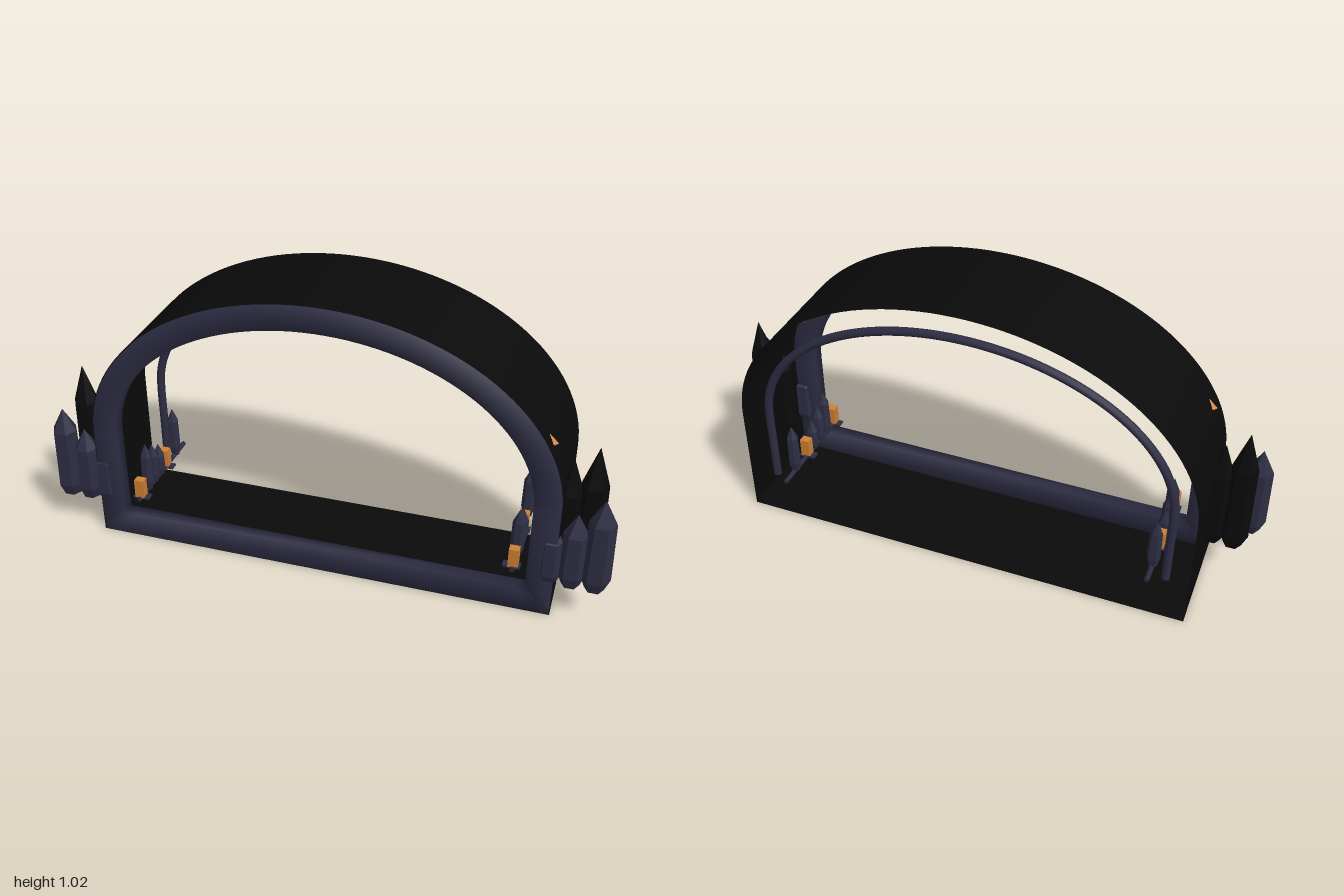
import * as THREE from 'three';
import { toCreasedNormals } from 'three/addons/utils/BufferGeometryUtils.js';

const SPRING = 0.42; // height where the arch starts to curve

// upper half ellipse, running from +x over the top to -x
function arch(rx, ry, n) {
  return Array.from({ length: n + 1 }, (_, i) => {
    const a = (i / n) * Math.PI;
    return [rx * Math.cos(a), SPRING + ry * Math.sin(a)];
  });
}

// closed arch outline with a flat bottom, anticlockwise from the front
function outline(rx, ry, bottom) {
  const e = rx - 0.03, f = bottom + 0.03;
  return [[-rx, bottom], [-e, bottom], [e, bottom], [rx, bottom], [rx, f],
    ...arch(rx, ry, 64), [-rx, f]];
}

// skin between successive outlines, each given as [points, z]
function skin(rings, wrap) {
  const n = rings[0][0].length, pos = [], index = [];
  for (const [pts, z] of rings) for (const [x, y] of pts) pos.push(x, y, z);
  const spans = wrap ? rings.length : rings.length - 1;
  for (let r = 0; r < spans; r++) {
    const s = (r + 1) % rings.length;
    for (let j = 0; j < n; j++) {
      const k = (j + 1) % n;
      const a = r * n + j, b = r * n + k, c = s * n + k, d = s * n + j;
      index.push(a, b, c, a, c, d);
    }
  }
  const g = new THREE.BufferGeometry();
  g.setAttribute('position', new THREE.Float32BufferAttribute(pos, 3));
  g.setIndex(index);
  g.computeVertexNormals();
  return g;
}

// six-sided pointed crystal standing on y = 0
function crystalGeometry(r, h, tip) {
  const profile = [[0, 0], [r * 0.65, 0], [r, Math.min(0.045, h * 0.2)], [r * 0.9, h - tip], [0, h]]
    .map(([x, y]) => new THREE.Vector2(x, y));
  // quarter turn so that corners point along x
  return toCreasedNormals(new THREE.LatheGeometry(profile, 6).rotateY(Math.PI / 2), 0.1);
}

export function createModel() {
  const model = new THREE.Group();
  model.name = 'crystalArch';
  const material = (name, color, extra = {}) => {
    const m = new THREE.MeshStandardMaterial({ color, ...extra });
    m.name = name;
    return m;
  };
  const black = material('black', 0x0a0a0a, { side: THREE.DoubleSide });
  const slate = material('slate', 0x2d2d44);
  const bronze = material('bronze', 0xcd7f32);

  const add = (name, geometry, mat, x = 0, y = 0, z = 0, parent = model) => {
    const mesh = new THREE.Mesh(geometry, mat);
    mesh.name = name;
    mesh.position.set(x, y, z);
    parent.add(mesh);
    return mesh;
  };

  // thin tunnel shell with its floor
  const shellLine = outline(0.82, 0.6, 0);
  add('tunnelShell', toCreasedNormals(skin([[shellLine, -0.22], [shellLine, 0.203]], false), 0.6), black);

  // thick soft-shaded frame around the front opening
  const outer = outline(0.817, 0.597, 0.003), inner = outline(0.73, 0.51, 0.09);
  add('frontRim', skin([[outer, 0.155], [outer, 0.205], [inner, 0.205], [inner, 0.155]], true), slate);

  // slim arch rib near the back
  const ribPoints = [[0.735, 0.14], [0.735, 0.28], ...arch(0.735, 0.495, 24), [-0.735, 0.28], [-0.735, 0.14]]
    .map(([x, y]) => new THREE.Vector3(x, y, -0.18));
  add('backRib', new THREE.TubeGeometry(new THREE.CatmullRomCurve3(ribPoints), 96, 0.015, 10), slate);

  // [x, z, radius, height, tip, material]
  const outerCrystals = [
    [0.95, 0.177, 0.05, 0.35, 0.085, slate],
    [0.872, 0.177, 0.047, 0.28, 0.075, slate],
    [0.8, 0.177, 0.042, 0.185, 0.02, slate],
    [0.907, 0.08, 0.05, 0.48, 0.14, black],
    [0.835, 0.08, 0.047, 0.415, 0.12, black],
  ];
  // [z, height]
  const innerCrystals = [[0.1, 0.19], [0.05, 0.16], [0.0, 0.13], [-0.14, 0.2]];

  for (const side of [1, -1]) {
    const group = new THREE.Group();
    group.name = side > 0 ? 'leftSide' : 'rightSide';
    model.add(group);

    for (const [x, z, r, h, tip, mat] of outerCrystals)
      add('outerCrystal', crystalGeometry(r, h, tip), mat, side * x, 0.127, z, group);

    // rail along the inside wall carrying small crystals and lanterns
    const rail = new THREE.CylinderGeometry(0.009, 0.009, 0.4, 8).rotateX(Math.PI / 2);
    add('rail', rail, slate, side * 0.68, 0.143, -0.018, group);
    for (const [z, h] of innerCrystals)
      add('innerCrystal', crystalGeometry(0.024, h, 0.05), slate, side * 0.68, 0.143, z, group);
    for (const z of [0.16, -0.05]) {
      add('lanternBase', new THREE.BoxGeometry(0.06, 0.008, 0.03), slate, side * 0.675, 0.147, z, group);
      add('lantern', new THREE.BoxGeometry(0.035, 0.072, 0.03), bronze, side * 0.68, 0.183, z, group);
    }

    // gem set through the shell
    add('gem', new THREE.OctahedronGeometry(0.03), bronze, side * 0.75, 0.635, 0.14, group);
  }
  return model;
}
